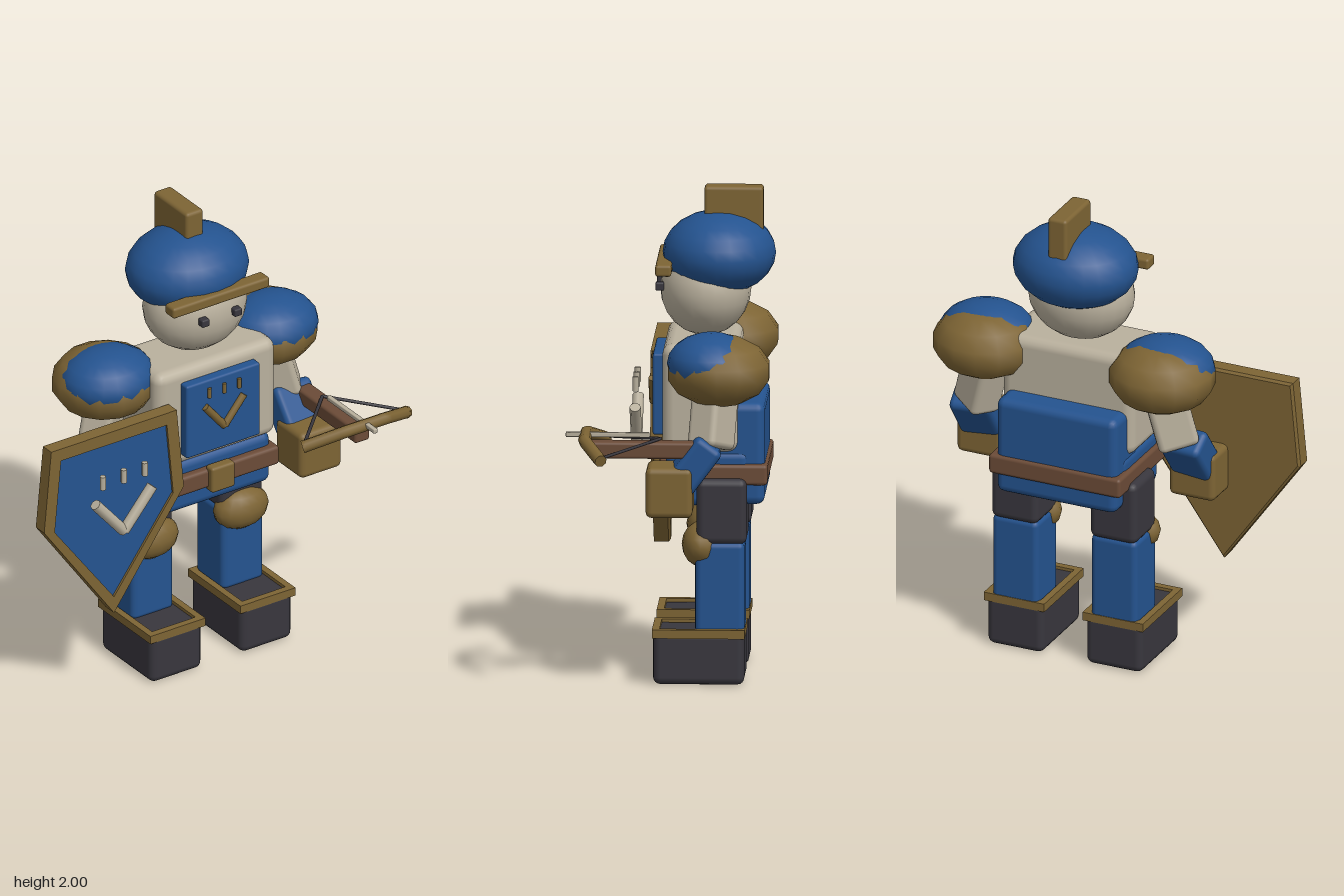
import * as THREE from 'three';
import { RoundedBoxGeometry } from 'three/addons/geometries/RoundedBoxGeometry.js';

const paint = (name, color) => Object.assign(new THREE.MeshStandardMaterial({ color }), { name });

export function createModel() {
  const blue = paint('royal blue', 0x24538f);
  const gold = paint('old gold', 0x7d6434);
  const cream = paint('cream', 0xb9b09d);
  const dark = paint('charcoal', 0x38363d);
  const brown = paint('leather brown', 0x6b4b37);

  const model = new THREE.Group();
  model.name = 'toySoldier';
  const CX = 0.06; // symmetry plane of the body

  const add = (name, geometry, material, x = 0, y = 0, z = 0) => {
    const mesh = new THREE.Mesh(geometry, material);
    mesh.name = name;
    mesh.position.set(x, y, z);
    model.add(mesh);
    return mesh;
  };
  const box = (name, mat, [x, y, z], [w, h, d], r = 0.02) =>
    add(name, new RoundedBoxGeometry(w, h, d, 2, r), mat, x, y, z);
  const ball = (name, mat, [x, y, z], [rx, ry, rz], sides = 24) =>
    add(name, new THREE.SphereGeometry(1, sides, sides / 2).scale(rx, ry, rz), mat, x, y, z);
  const UP = new THREE.Vector3(0, 1, 0);
  // aligns a mesh's y axis with the line from a to b
  const aim = (mesh, a, b) => {
    mesh.position.copy(a).add(b).multiplyScalar(0.5);
    mesh.quaternion.setFromUnitVectors(UP, b.clone().sub(a).normalize());
  };
  const rod = (name, mat, p, q, r, sides = 8) => {
    const a = new THREE.Vector3(...p), b = new THREE.Vector3(...q);
    aim(add(name, new THREE.CylinderGeometry(r, r, a.distanceTo(b), sides), mat), a, b);
  };
  const limb = (name, mat, p, q, w, d) => {
    const a = new THREE.Vector3(...p), b = new THREE.Vector3(...q);
    aim(box(name, mat, [0, 0, 0], [w, a.distanceTo(b), d], 0.025), a, b);
  };
  const outline = pts => pts.map(p => new THREE.Vector2(...p));
  const plate = (name, mat, pts, depth, z, hole, bevel = 0) => {
    const shape = new THREE.Shape(outline(pts));
    if (hole) shape.holes.push(new THREE.Path(outline(hole)));
    const g = new THREE.ExtrudeGeometry(shape, {
      depth, bevelEnabled: bevel > 0, bevelSize: bevel, bevelThickness: bevel, bevelOffset: -bevel, bevelSegments: 1,
    });
    return add(name, g, mat, 0, 0, z);
  };
  // chevron with three small bars above it
  const emblem = (name, mat, x, z, halfW, yLow, yHigh, barX, barLow, barHigh, r) => {
    for (const s of [-1, 1]) rod(name + 'Chevron', mat, [x, yLow, z], [x + s * halfW, yHigh, z], r);
    for (const s of [-1, 0, 1]) rod(name + 'Bar', mat, [x + s * barX, barLow, z], [x + s * barX, barHigh, z], r * 0.55);
  };

  // head and helmet
  ball('head', cream, [CX, 1.58, -0.13], [0.225, 0.195, 0.185]);
  ball('helmet', blue, [CX, 1.725, -0.185], [0.262, 0.17, 0.23]);
  box('helmetCrest', gold, [CX, 1.875, -0.245], [0.085, 0.25, 0.24], 0.015);
  box('helmetBrim', gold, [CX, 1.686, 0.033], [0.475, 0.048, 0.066], 0.012);
  for (const s of [-1, 1]) box('eye', dark, [CX + s * 0.08, 1.596, 0.053], [0.037, 0.034, 0.035], 0.007);

  // torso, hips and back block
  box('torso', cream, [CX, 1.17, -0.12], [0.592, 0.445, 0.31], 0.045);
  box('chestPlate', blue, [CX, 1.168, 0.053], [0.362, 0.335, 0.05], 0.01);
  emblem('chest', gold, CX, 0.083, 0.095, 1.105, 1.22, 0.073, 1.257, 1.3, 0.016);
  box('hips', blue, [CX, 0.84, -0.15], [0.555, 0.23, 0.34], 0.035);
  box('backBlock', blue, [CX, 0.94, -0.27], [0.54, 0.42, 0.22], 0.035);
  box('belt', brown, [CX, 0.858, -0.17], [0.59, 0.085, 0.445], 0.015);
  box('beltBuckle', gold, [CX, 0.858, 0.055], [0.115, 0.115, 0.05], 0.012);

  for (const s of [-1, 1]) {
    const at = (x, y, z) => [CX + s * x, y, z];

    // shoulder pad with raised blue cap, arm and glove
    ball('shoulderPad', gold, at(0.395, 1.31, -0.2), [0.222, 0.146, 0.215], 14);
    ball('shoulderCap', blue, at(0.4, 1.34, -0.17), [0.203, 0.125, 0.18], 20);
    limb('upperArm', cream, at(0.37, 1.33, -0.195), at(0.455, 1.0, -0.17), 0.17, 0.135);
    limb('forearm', blue, at(0.47, 1.03, -0.17), at(0.475, 0.83, -0.02), 0.185, 0.125);
    box('glove', gold, at(0.475, 0.833, -0.005), [0.205, 0.207, 0.19], 0.025);

    // leg
    const lx = 0.221;
    box('thigh', dark, at(lx, 0.71, -0.207), [0.21, 0.27, 0.205], 0.03);
    box('shin', blue, at(lx, 0.395, -0.2), [0.205, 0.38, 0.2], 0.025);
    ball('kneePad', gold, at(lx, 0.562, -0.122), [0.126, 0.092, 0.08], 16);
    box('boot', dark, at(lx, 0.109, -0.115), [0.252, 0.218, 0.37], 0.03);

    // boot trim ring
    const rect = (w, d) => [[-w, -d], [w, -d], [w, d], [-w, d]];
    const trim = plate('bootTrim', gold, rect(0.135, 0.188), 0.036, 0, rect(0.106, 0.158));
    trim.rotation.x = -Math.PI / 2;
    trim.position.set(CX + s * lx, 0.194, -0.115);
  }

  // shield
  const SX = -0.497;
  const shieldShape = (top, wTop, mid, wMid, low) =>
    [[SX, low], [SX + wMid, mid], [SX + wTop, top], [SX - wTop, top], [SX - wMid, mid]];
  const outer = shieldShape(1.265, 0.308, 0.9, 0.343, 0.42);
  const inner = shieldShape(1.21, 0.26, 0.886, 0.291, 0.495);
  plate('shieldBack', gold, outer, 0.03, 0.045, null, 0.01);
  plate('shieldRim', gold, outer, 0.035, 0.07, inner);
  plate('shieldPanel', blue, inner, 0.009, 0.086);
  emblem('shield', cream, SX, 0.175, 0.14, 0.835, 1.0, 0.103, 1.06, 1.12, 0.023);

  // crossbow
  const BX = 0.577;
  box('crossbowStock', brown, [BX, 1.005, 0.1], [0.072, 0.068, 0.44], 0.012);
  const bow = [[-0.25, 1.005, 0.265], [-0.1, 1.057, 0.335], [0.1, 1.057, 0.335], [0.25, 1.005, 0.265]];
  const path = new THREE.CurvePath();
  bow.map(([x, y, z]) => new THREE.Vector3(BX + x, y, z)).forEach((p, i, all) => {
    if (i) path.add(new THREE.LineCurve3(all[i - 1], p));
  });
  add('crossbowLimbs', new THREE.TubeGeometry(path, 24, 0.026, 8, false), gold);
  for (const s of [-1, 1]) {
    rod('limbTip', gold, [BX + s * 0.244, 1.007, 0.268], [BX + s * 0.256, 1.003, 0.262], 0.026);
    rod('crossbowString', dark, [BX + s * 0.235, 1.015, 0.25], [BX, 1.05, 0.03], 0.007, 6);
  }
  box('crossbowBolt', cream, [BX, 1.065, 0.245], [0.02, 0.02, 0.34], 0.004);

  return model;
}
